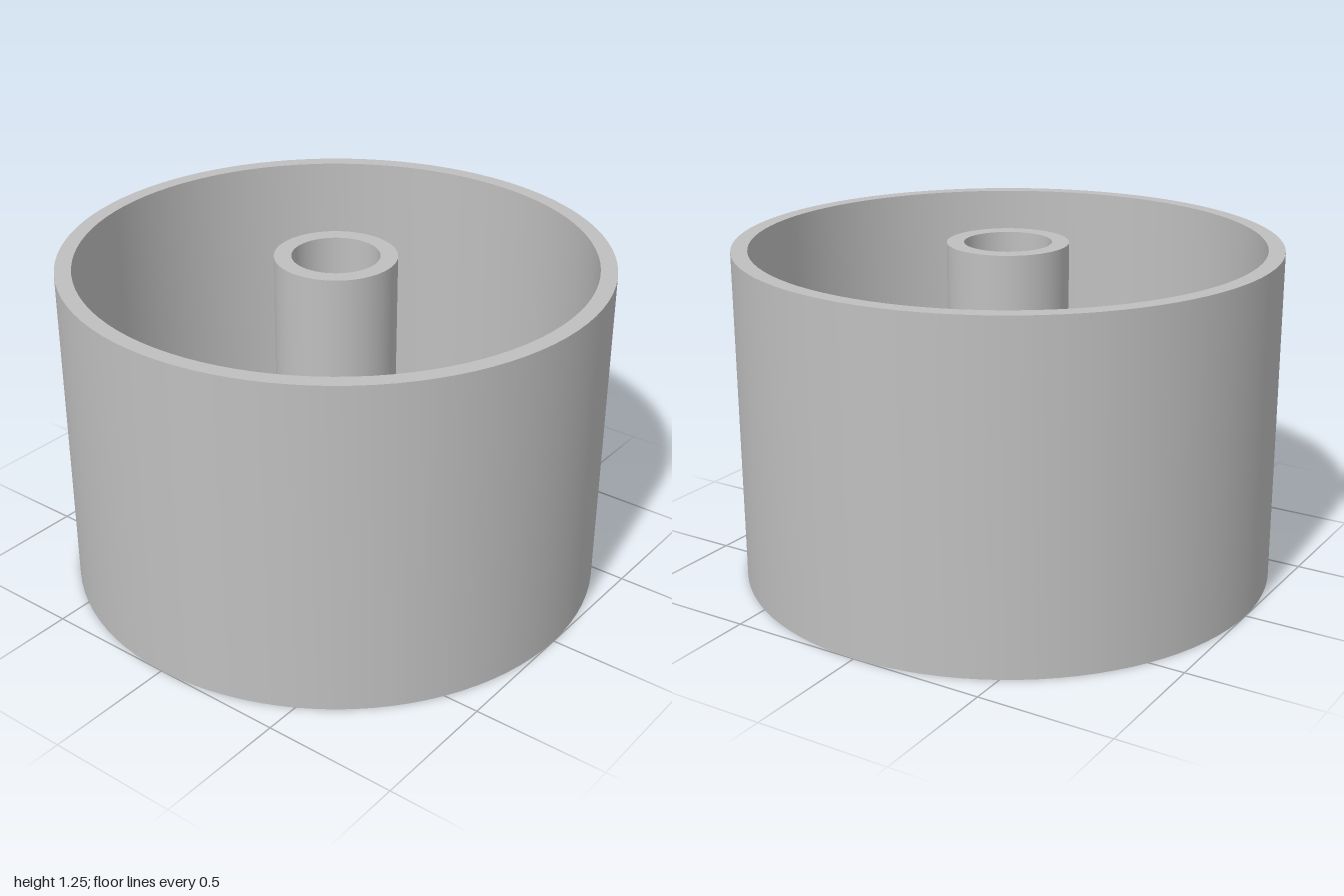
import * as THREE from 'three';
import { toCreasedNormals } from 'three/addons/utils/BufferGeometryUtils.js';

const HEIGHT = 1.25;
const FLOOR = 0.06;
const R_OUTER = 1;
const R_INNER = 0.94;
const R_HUB = 0.223;
const R_BORE = 0.16;

export function createModel() {
  const model = new THREE.Group();
  model.name = 'hollowDrum';
  const grey = new THREE.MeshStandardMaterial({ color: 0xbfbfbf });
  grey.name = 'grey';

  // Revolve a profile around y, keeping its corners sharp
  function revolve(name, profile) {
    const points = profile.map(([r, y]) => new THREE.Vector2(r, y));
    const geometry = toCreasedNormals(new THREE.LatheGeometry(points, 96), Math.PI / 6);
    const mesh = new THREE.Mesh(geometry, grey);
    mesh.name = name;
    model.add(mesh);
  }

  // Outer wall with its flat rim
  revolve('outerWall', [[R_OUTER, 0], [R_OUTER, HEIGHT], [R_INNER, HEIGHT], [R_INNER, FLOOR]]);

  // Floor, seen from below and from inside
  revolve('floorUnderside', [[R_BORE, 0], [R_OUTER, 0]]);
  revolve('floorTop', [[R_INNER, FLOOR], [R_HUB, FLOOR]]);

  // Central tube, bored right through the floor
  revolve('centreTube', [[R_HUB, FLOOR], [R_HUB, HEIGHT], [R_BORE, HEIGHT], [R_BORE, 0]]);

  return model;
}
